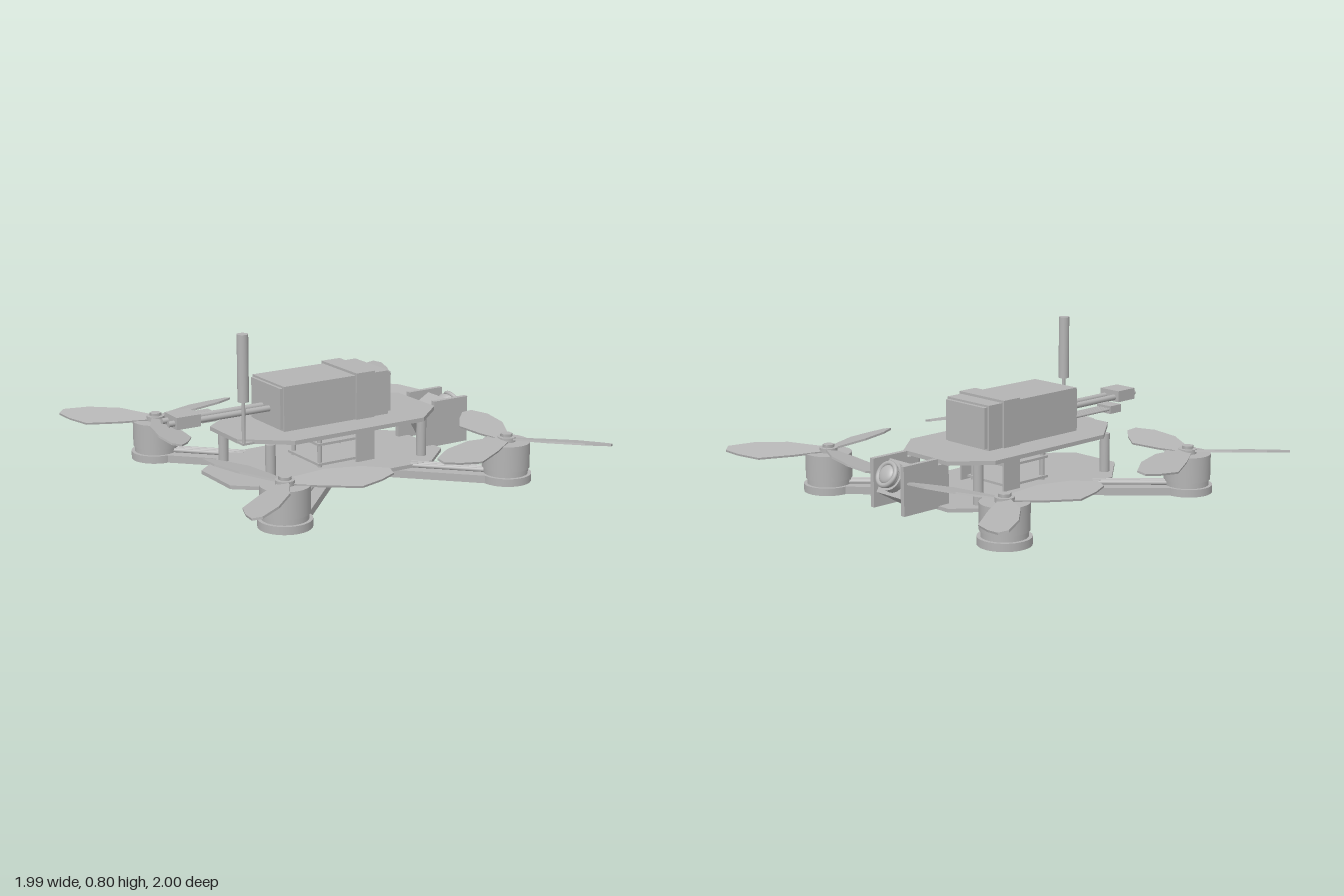
import * as THREE from 'three';

const grey = new THREE.MeshStandardMaterial({ color: 0xb4b4b4 });
grey.name = 'plain grey';

function add(parent, name, geometry, x = 0, y = 0, z = 0) {
  const mesh = new THREE.Mesh(geometry, grey);
  mesh.name = name;
  mesh.position.set(x, y, z);
  parent.add(mesh);
  return mesh;
}

// Box given by its limits on each axis
function box(parent, name, [x0, x1], [y0, y1], [z0, z1]) {
  return add(parent, name, new THREE.BoxGeometry(x1 - x0, y1 - y0, z1 - z0),
    (x0 + x1) / 2, (y0 + y1) / 2, (z0 + z1) / 2);
}

// Upright cylinder between two heights
function post(parent, name, r, y0, y1, x, z, sides = 24) {
  return add(parent, name, new THREE.CylinderGeometry(r, r, y1 - y0, sides), x, (y0 + y1) / 2, z);
}

// Cylinder lying along x
function rod(parent, name, r, x0, x1, y, z, sides = 12) {
  const g = new THREE.CylinderGeometry(r, r, x1 - x0, sides).rotateZ(Math.PI / 2);
  return add(parent, name, g, (x0 + x1) / 2, y, z);
}

// Flat plate from an outline in x and z
function plate(parent, name, points, y0, y1) {
  const shape = new THREE.Shape(points.map(([x, z]) => new THREE.Vector2(x, -z)));
  const g = new THREE.ExtrudeGeometry(shape, { depth: y1 - y0, bevelEnabled: false });
  return add(parent, name, g.rotateX(-Math.PI / 2), 0, y0, 0);
}

function octagon(back, front, flat, half, zBack, zFront) {
  const side = [[front, zFront], [flat, half], [-flat, half], [back, zBack]];
  return [...side, ...side.map(([x, z]) => [x, -z]).reverse()];
}

// Pitched propeller blade pointing along +x; hand is 1 or -1
function bladeGeometry(hand) {
  const outline = [[0.02, 0.025], [0.21, 0.075], [0.38, 0.068], [0.5, 0.027], [0.505, -0.02],
    [0.435, -0.065], [0.33, -0.108], [0.16, -0.072], [0.02, -0.03]];
  const shape = new THREE.Shape(outline.map(([x, y]) => new THREE.Vector2(x, y * hand)));
  const g = new THREE.ExtrudeGeometry(shape, { depth: 0.01, bevelEnabled: false });
  return g.translate(0, 0, -0.005).rotateX(Math.PI / 2 - hand * 0.21);
}

function createRotor(sx, sz) {
  const rotor = new THREE.Group();
  rotor.name = 'rotor';
  post(rotor, 'armEnd', 0.125, 0.018, 0.056, 0, 0, 32);
  post(rotor, 'motorBase', 0.108, 0.056, 0.085, 0, 0, 32);
  post(rotor, 'motorBell', 0.115, 0.085, 0.212, 0, 0, 32);
  post(rotor, 'propellerHub', 0.045, 0.212, 0.235, 0, 0);
  post(rotor, 'propellerNut', 0.03, 0.235, 0.25, 0, 0, 6);
  const hand = sx * sz;
  const start = (hand > 0 ? 135 : 45) + (sz > 0 ? 180 : 0);
  const blade = bladeGeometry(hand);
  for (let i = 0; i < 3; i++) {
    add(rotor, 'propellerBlade', blade, 0, 0.222, 0).rotation.y =
      THREE.MathUtils.degToRad(start + i * 120);
  }
  rotor.position.set(sx * 0.625, 0, sz * 0.625);
  return rotor;
}

export function createModel() {
  const model = new THREE.Group();
  model.name = 'racingDrone';

  // Crossed arms, motor wires and rotors
  for (const s of [-1, 1]) {
    const arm = add(model, 'crossArm', new THREE.BoxGeometry(1.77, 0.038, 0.176), 0, 0.037, 0);
    arm.rotation.y = s * Math.PI / 4;
    for (const t of [-1, 1]) {
      model.add(createRotor(s, t));
      const wires = new THREE.Group();
      wires.name = 'motorWires';
      for (const w of [-1, 0, 1]) rod(wires, 'motorWire', 0.011, 0.42, 0.79, 0.065, w * 0.024, 8);
      wires.rotation.y = Math.atan2(-t, s);
      model.add(wires);
    }
  }

  // Frame plates and standoffs
  plate(model, 'bottomPlate', octagon(-0.63, 0.565, 0.4, 0.33, 0.14, 0.185), 0.056, 0.074);
  plate(model, 'topPlate', octagon(-0.585, 0.54, 0.37, 0.3, 0.13, 0.155), 0.27, 0.29);
  for (const x of [-0.46, 0.41]) {
    for (const z of [-0.225, 0.225]) post(model, 'standoff', 0.025, 0.074, 0.27, x, z, 16);
  }

  // Electronics stack between the plates
  for (const y of [0.085, 0.185, 0.24]) {
    box(model, 'circuitBoard', [-0.14, 0.14], [y, y + 0.012], [-0.14, 0.14]);
  }
  box(model, 'receiver', [-0.1, 0.1], [0.252, 0.268], [-0.09, 0.09]);
  for (const x of [-0.12, 0.12]) {
    for (const z of [-0.12, 0.12]) post(model, 'stackPost', 0.012, 0.074, 0.25, x, z, 10);
  }

  // Battery with wrap
  box(model, 'batteryCore', [-0.35, 0.285], [0.3, 0.5], [-0.135, 0.135]);
  box(model, 'batteryWrap', [-0.335, 0.265], [0.29, 0.51], [-0.146, 0.146]);

  // Strap loop around the battery and frame
  box(model, 'strapTop', [0.07, 0.176], [0.51, 0.522], [-0.157, 0.157]);
  box(model, 'strapBottom', [0.07, 0.176], [0.004, 0.016], [-0.157, 0.157]);
  for (const s of [-1, 1]) {
    const z = s * 0.152;
    box(model, 'strapSide', [0.07, 0.176], [0.004, 0.522], [z - 0.005, z + 0.005]);
  }

  // Power leads and connector
  for (const z of [-0.034, 0.03]) {
    rod(model, 'powerLead', 0.015, -0.75, -0.34, 0.382, z);
    rod(model, 'connectorPin', 0.014, -0.89, -0.85, 0.385, z);
  }
  box(model, 'powerConnector', [-0.86, -0.735], [0.36, 0.418], [-0.065, 0.06]);

  // Balance lead
  box(model, 'balancePlug', [-0.665, -0.585], [0.335, 0.375], [-0.147, -0.055]);
  for (let i = 0; i < 5; i++) {
    rod(model, 'balanceWire', 0.007, -0.59, -0.34, 0.357, -0.136 + i * 0.018, 8);
  }

  // Antenna
  post(model, 'antennaStem', 0.009, 0.27, 0.49, -0.572, 0.172, 10);
  post(model, 'antennaSleeve', 0.027, 0.48, 0.8, -0.572, 0.172, 20);
  box(model, 'antennaMount', [-0.582, -0.5], [0.27, 0.28], [0.12, 0.182]);

  // Camera cage and upward tilted camera
  for (const s of [-1, 1]) {
    const z = s * 0.108;
    box(model, 'cameraSidePlate', [0.567, 0.775], [0.064, 0.3], [z - 0.012, z + 0.012]);
    box(model, 'cameraPlateTab', [0.5, 0.6], [0.074, 0.27], [z - 0.012, z + 0.012]);
  }
  const camera = new THREE.Group();
  camera.name = 'camera';
  box(camera, 'cameraBody', [-0.085, 0.085], [-0.085, 0.085], [-0.088, 0.088]);
  rod(camera, 'lensBase', 0.07, 0.08, 0.12, 0, 0, 28);
  rod(camera, 'lensBarrel', 0.058, 0.12, 0.145, 0, 0, 28);
  const rim = new THREE.TorusGeometry(0.055, 0.012, 8, 28).rotateY(Math.PI / 2);
  add(camera, 'lensRim', rim, 0.145, 0, 0);
  const glass = new THREE.SphereGeometry(0.046, 20, 8, 0, Math.PI * 2, 0, Math.PI / 2);
  add(camera, 'lensGlass', glass.scale(1, 0.4, 1).rotateZ(-Math.PI / 2), 0.145, 0, 0);
  camera.position.set(0.65, 0.171, 0);
  camera.rotation.z = Math.PI / 6;
  model.add(camera);

  return model;
}
